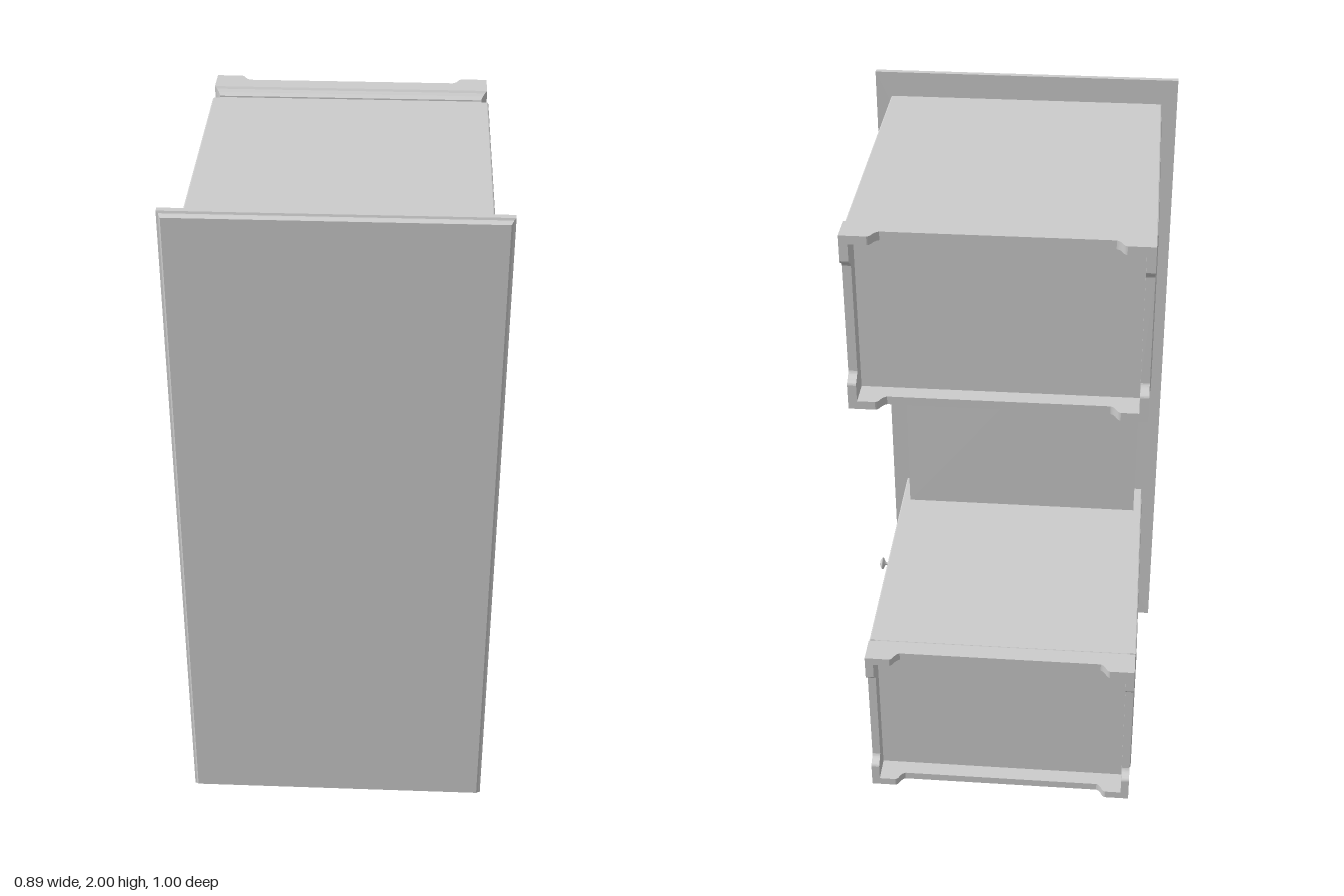
import * as THREE from 'three';

const flat = new THREE.MeshStandardMaterial({ color: 0xcccccc, flatShading: true });
const smooth = new THREE.MeshStandardMaterial({ color: 0xcccccc, side: THREE.DoubleSide });

function add(parent, name, geometry, material = flat) {
  const mesh = new THREE.Mesh(geometry, material);
  mesh.name = name;
  parent.add(mesh);
  return mesh;
}

// Capped loft of rectangles [halfWidth, halfHeight, z], listed by rising z
function loft(sections) {
  const pos = [], idx = [];
  for (const [w, h, z] of sections) pos.push(-w, -h, z, w, -h, z, w, h, z, -w, h, z);
  const n = sections.length;
  for (let s = 0; s < n - 1; s++) {
    for (let i = 0; i < 4; i++) {
      const a = s * 4 + i, b = s * 4 + (i + 1) % 4;
      idx.push(a, b, b + 4, a, b + 4, a + 4);
    }
  }
  const t = (n - 1) * 4;
  idx.push(0, 2, 1, 0, 3, 2, t, t + 1, t + 2, t, t + 2, t + 3);
  const g = new THREE.BufferGeometry();
  g.setAttribute('position', new THREE.Float32BufferAttribute(pos, 3));
  g.setIndex(idx);
  const out = g.toNonIndexed();
  out.computeVertexNormals();
  return out;
}

function rectangle(path, w, h) {
  path.moveTo(-w, -h);
  path.lineTo(w, -h);
  path.lineTo(w, h);
  path.lineTo(-w, h);
  path.closePath();
  return path;
}

// Turned knob pointing along +x
function knob(x, y, z) {
  const profile = [[0, 0], [0.008, 0], [0.006, 0.004], [0.004, 0.01], [0.005, 0.016], [0.012, 0.02],
    [0.019, 0.023], [0.019, 0.026], [0.014, 0.03], [0.007, 0.033], [0, 0.034]];
  const g = new THREE.LatheGeometry(profile.map(p => new THREE.Vector2(...p)), 20);
  g.rotateZ(-Math.PI / 2);
  return g.translate(x, y, z);
}

// Side panel: bevelled frame around a raised field, facing local +z
function sidePanel() {
  const panel = new THREE.Group();
  panel.name = 'sidePanel';
  const shape = rectangle(new THREE.Shape(), 0.4235, 0.229);
  shape.holes.push(rectangle(new THREE.Path(), 0.352, 0.157));
  const frame = new THREE.ExtrudeGeometry(shape, {
    depth: 0.018, bevelThickness: 0.004, bevelSize: 0.004, bevelSegments: 2,
  });
  add(panel, 'panelFrame', frame.translate(0, 0, 0.38));
  add(panel, 'raisedField', loft([[0.356, 0.161, 0.375], [0.356, 0.161, 0.388],
    [0.302, 0.113, 0.394], [0.298, 0.109, 0.399]]));
  return panel;
}

// Plinth board with bracket feet; its length runs along x, feet toward -z
function plinthBoard(L, thickness) {
  const s = new THREE.Shape();
  s.moveTo(-L, 0);
  s.lineTo(L, 0);
  s.lineTo(L, 0.08);
  s.lineTo(L - 0.072, 0.08);
  s.quadraticCurveTo(L - 0.08, 0.078, L - 0.084, 0.067);
  s.quadraticCurveTo(L - 0.09, 0.054, L - 0.1, 0.05);
  s.lineTo(-L + 0.1, 0.05);
  s.quadraticCurveTo(-L + 0.09, 0.054, -L + 0.084, 0.067);
  s.quadraticCurveTo(-L + 0.08, 0.078, -L + 0.072, 0.08);
  s.lineTo(-L, 0.08);
  s.closePath();
  const g = new THREE.ExtrudeGeometry(s, { depth: thickness, bevelEnabled: false, curveSegments: 5 });
  g.translate(0, 0, -thickness / 2);
  return g.rotateX(-Math.PI / 2);
}

function pedestal(side) {
  const group = new THREE.Group();
  group.name = side < 0 ? 'lowerPedestal' : 'upperPedestal';
  group.position.y = 1 + side * 0.693;

  const body = new THREE.BoxGeometry(0.764, 0.466, 0.872);
  add(group, 'pedestalBody', body.translate(0, 0, 0.036));

  // Panels on both long sides, knob on one only
  for (const s of [1, -1]) {
    const panel = sidePanel();
    panel.rotation.y = s * Math.PI / 2;
    panel.position.z = 0.04;
    group.add(panel);
  }
  add(group, 'pedestalKnob', knob(0.401, -side * 0.19, 0.042), smooth);

  // Coved moulding between body and plinth
  add(group, 'plinthMoulding', loft([[0.398, 0.256, -0.422], [0.398, 0.256, -0.418],
    [0.392, 0.25, -0.414], [0.386, 0.243, -0.407], [0.382, 0.239, -0.396], [0.382, 0.237, -0.393]]));

  // Four plinth boards around the recessed base
  const t = 0.024;
  for (const s of [1, -1]) {
    const long = plinthBoard(0.398, t);
    add(group, 'plinthLongBoard', long.translate(0, s * (0.256 - t / 2), -0.42));
    const short = plinthBoard(0.256, t).rotateZ(Math.PI / 2);
    add(group, 'plinthShortBoard', short.translate(s * (0.398 - t / 2), 0, -0.42));
  }
  return group;
}

export function createModel() {
  const desk = new THREE.Group();
  desk.name = 'desk';

  // Desk top standing on edge, with a moulded rim
  const top = loft([[0.446, 1, 0.468], [0.446, 1, 0.485], [0.44, 0.994, 0.487],
    [0.439, 0.993, 0.492], [0.434, 0.988, 0.5]]);
  add(desk, 'deskTop', top.translate(0, 1, 0));

  for (const side of [-1, 1]) desk.add(pedestal(side));

  // Centre drawer bridging the pedestals
  const drawer = new THREE.BoxGeometry(0.75, 0.93, 0.128);
  add(desk, 'centreDrawer', drawer.translate(0, 1, 0.406));
  add(desk, 'drawerKnob', knob(0.374, 1, 0.405), smooth);

  return desk;
}
